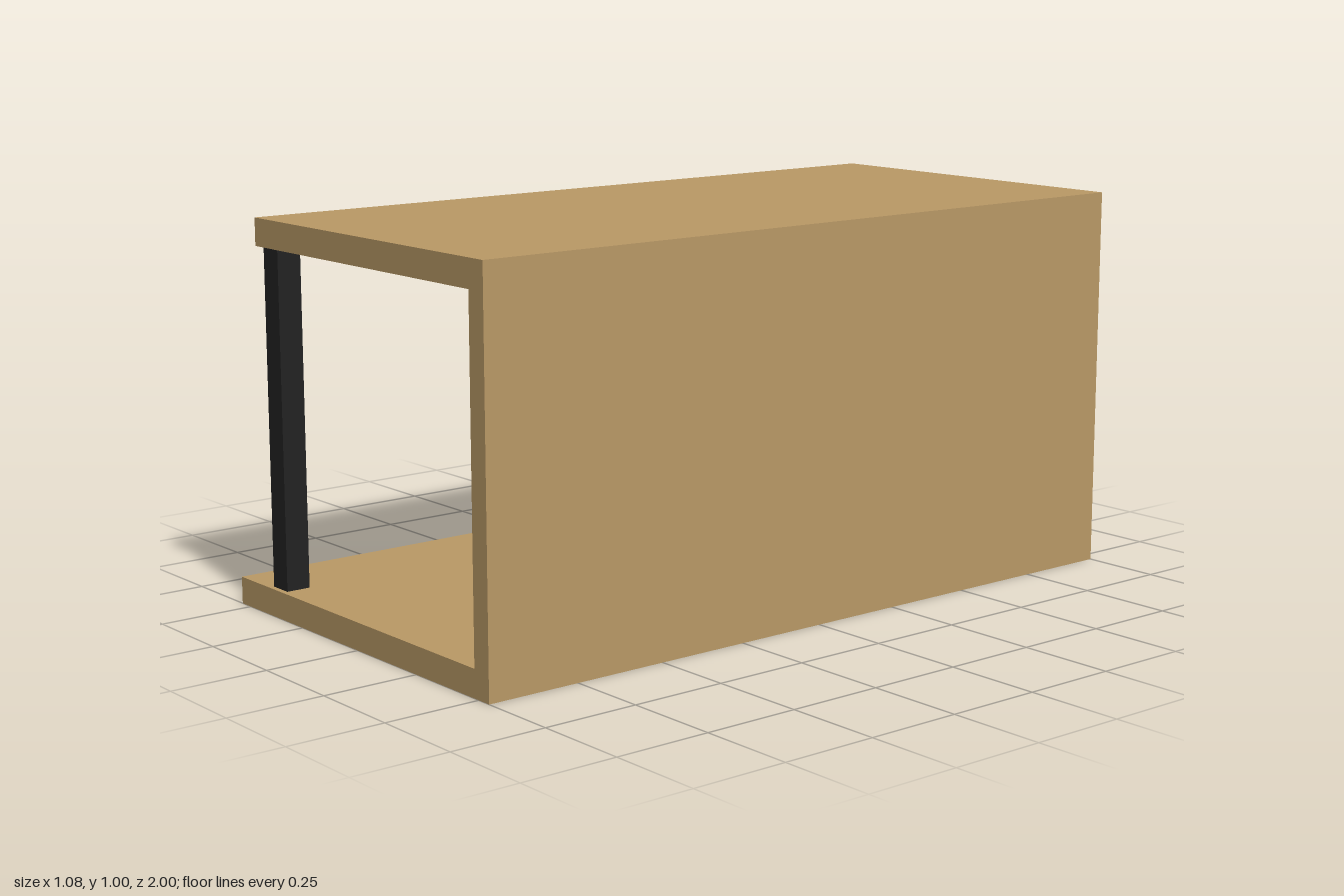
import * as THREE from 'three';

export function createModel() {
  const model = new THREE.Group();
  const wood = new THREE.MeshStandardMaterial({ color: 0xba9a66 });
  wood.name = 'wood';
  const blackMetal = new THREE.MeshStandardMaterial({ color: 0x222222 });
  blackMetal.name = 'blackMetal';

  function add(name, geometry, material, x = 0, y = 0, z = 0) {
    const mesh = new THREE.Mesh(geometry, material);
    mesh.name = name;
    mesh.position.set(x, y, z);
    model.add(mesh);
  }

  // Base board and side wall, one L-shaped section run along z
  const section = new THREE.Shape([
    [-0.54, 0], [0.54, 0], [0.54, 0.93], [0.485, 0.93], [0.485, 0.07], [-0.54, 0.07],
  ].map(([x, y]) => new THREE.Vector2(x, y)));
  add('baseAndSideWall',
    new THREE.ExtrudeGeometry(section, { depth: 2, bevelEnabled: false }), wood, 0, 0, -1);

  // Top board, set back on the open side
  add('topBoard', new THREE.BoxGeometry(0.96, 0.07, 2), wood, 0.06, 0.965, 0);

  // Square posts near both ends of the open side
  const post = new THREE.BoxGeometry(0.064, 0.86, 0.064);
  for (const [name, side] of [['frontPost', 1], ['backPost', -1]]) {
    add(name, post, blackMetal, -0.373, 0.5, side * 0.954);
  }
  return model;
}
